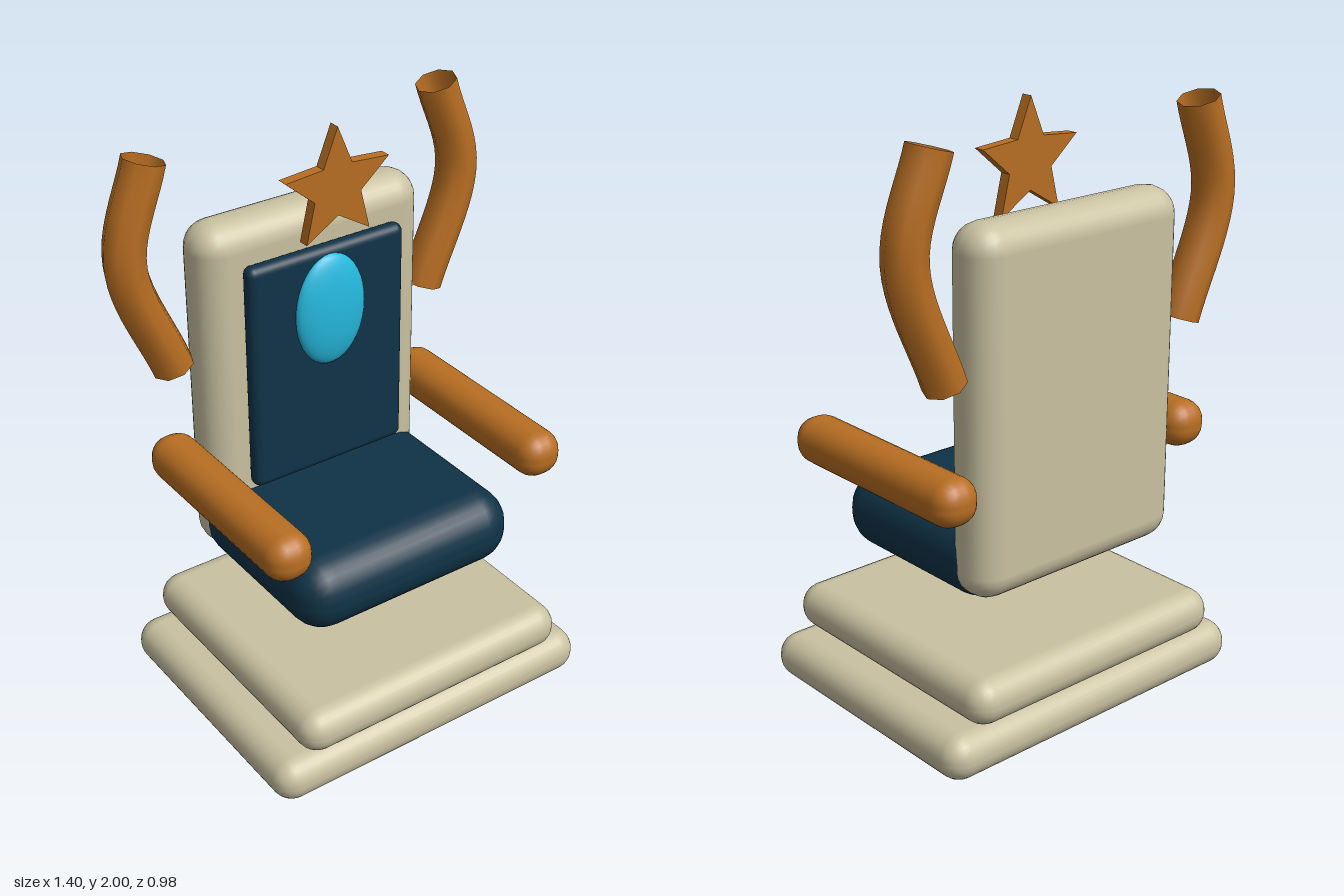
import * as THREE from 'three';
import { RoundedBoxGeometry } from 'three/addons/geometries/RoundedBoxGeometry.js';

export function createModel() {
  const model = new THREE.Group();
  model.name = 'throne';

  const material = (name, color, side = THREE.FrontSide) => {
    const m = new THREE.MeshStandardMaterial({ color, side });
    m.name = name;
    return m;
  };
  const stone = material('cream stone', 0xc9c1a1);
  const fabric = material('navy fabric', 0x0f3347);
  const bronze = material('bronze', 0xb86e22, THREE.DoubleSide);
  const gemBlue = material('bright cyan', 0x25b9de);

  const add = (name, geometry, mat, x = 0, y = 0, z = 0) => {
    const mesh = new THREE.Mesh(geometry, mat);
    mesh.name = name;
    mesh.position.set(x, y, z);
    model.add(mesh);
    return mesh;
  };
  // Rounded block given by its size, corner radius and centre
  const block = (name, mat, [w, h, d], radius, centre) =>
    add(name, new RoundedBoxGeometry(w, h, d, 3, radius), mat, ...centre);

  // Stepped base
  block('lowerStep', stone, [1.24, 0.156, 0.98], 0.075, [0, 0.08, 0]);
  block('upperStep', stone, [1.04, 0.156, 0.98], 0.075, [0, 0.235, 0]);

  // Seat and back
  block('seatCushion', fabric, [0.84, 0.26, 0.71], 0.12, [0, 0.615, 0]);
  block('backrest', stone, [0.84, 1.195, 0.19], 0.09, [0, 1.108, -0.293]);
  block('backPanel', fabric, [0.59, 0.805, 0.06], 0.028, [0, 1.178, -0.168]);

  // Oval gem set into the panel
  const gem = add('gem', new THREE.SphereGeometry(1, 32, 20), gemBlue, 0, 1.363, -0.14);
  gem.scale.set(0.132, 0.196, 0.046);

  // Armrests and open-ended curved horns, mirrored
  for (const [label, s] of [['left', 1], ['right', -1]]) {
    block(label + 'Armrest', bronze, [0.16, 0.156, 0.795], 0.07, [s * 0.49, 0.882, 0.003]);
    const path = new THREE.CatmullRomCurve3([
      new THREE.Vector3(s * 0.49, 1.24, -0.302),
      new THREE.Vector3(s * 0.63, 1.64, -0.305),
      new THREE.Vector3(s * 0.54, 1.953, -0.31),
    ]);
    add(label + 'Horn', new THREE.TubeGeometry(path, 20, 0.07, 8, false), bronze);
  }

  // Five-pointed star above the back
  const star = new THREE.Shape();
  for (let i = 0; i < 10; i++) {
    const r = i % 2 ? 0.09 : 0.2;
    const a = Math.PI / 2 + (i * Math.PI) / 5;
    star[i ? 'lineTo' : 'moveTo'](r * Math.cos(a), r * Math.sin(a));
  }
  star.closePath();
  add('star', new THREE.ExtrudeGeometry(star, { depth: 0.038, bevelEnabled: false }),
    bronze, 0, 1.8, -0.127);

  return model;
}
